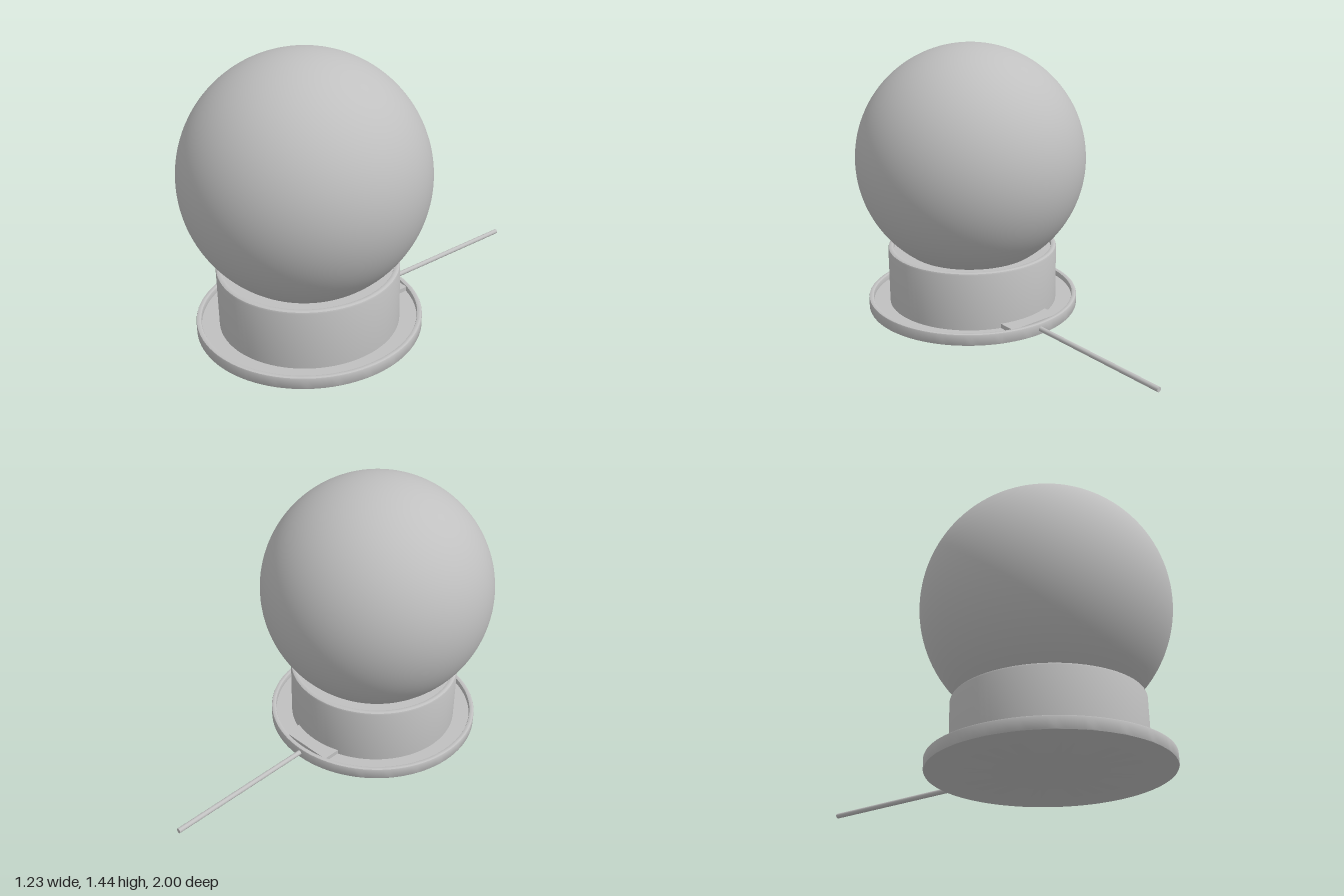
import * as THREE from 'three';
import { toCreasedNormals } from 'three/addons/utils/BufferGeometryUtils.js';

const CENTRE_Z = 0.387;

export function createModel() {
  const model = new THREE.Group();
  model.name = 'globeLamp';
  const grey = new THREE.MeshStandardMaterial({ color: 0xc0c0c0 });
  grey.name = 'plain grey';

  function add(name, geometry, x, y, z) {
    const mesh = new THREE.Mesh(geometry, grey);
    mesh.name = name;
    mesh.position.set(x, y, z);
    model.add(mesh);
    return mesh;
  }

  // Turned part: profile runs from the bottom axis outwards, up and back in
  function turned(name, profile) {
    const points = profile.map(([r, y]) => new THREE.Vector2(r, y));
    const geometry = new THREE.LatheGeometry(points, 96);
    return add(name, toCreasedNormals(geometry, 0.6), 0, 0, CENTRE_Z);
  }

  // Base tray with a raised, softened rim
  turned('baseTray', [
    [0, 0], [0.569, 0], [0.573, 0.002], [0.575, 0.006],
    [0.575, 0.056], [0.573, 0.061], [0.568, 0.063],
    [0.556, 0.063], [0.551, 0.061], [0.549, 0.056],
    [0.549, 0.032], [0, 0.032],
  ]);

  // Collar with a shallow seat around the globe
  turned('collar', [
    [0.46, 0.032], [0.46, 0.333], [0.457, 0.341], [0.449, 0.345],
    [0.437, 0.345], [0.432, 0.343], [0.43, 0.338],
    [0.43, 0.322], [0.3, 0.322],
  ]);

  // Globe
  add('globe', new THREE.SphereGeometry(0.613, 96, 64), 0, 0.826, CENTRE_Z);

  // Raised cord housing between collar and rim
  add('cordHousing', new THREE.BoxGeometry(0.3, 0.03, 0.17), 0, 0.041, -0.06);

  // Power cord running straight out of the back
  const cord = add('cord', new THREE.CylinderGeometry(0.013, 0.013, 0.83, 24), 0, 0.033, -0.585);
  cord.rotation.x = Math.PI / 2;

  return model;
}
